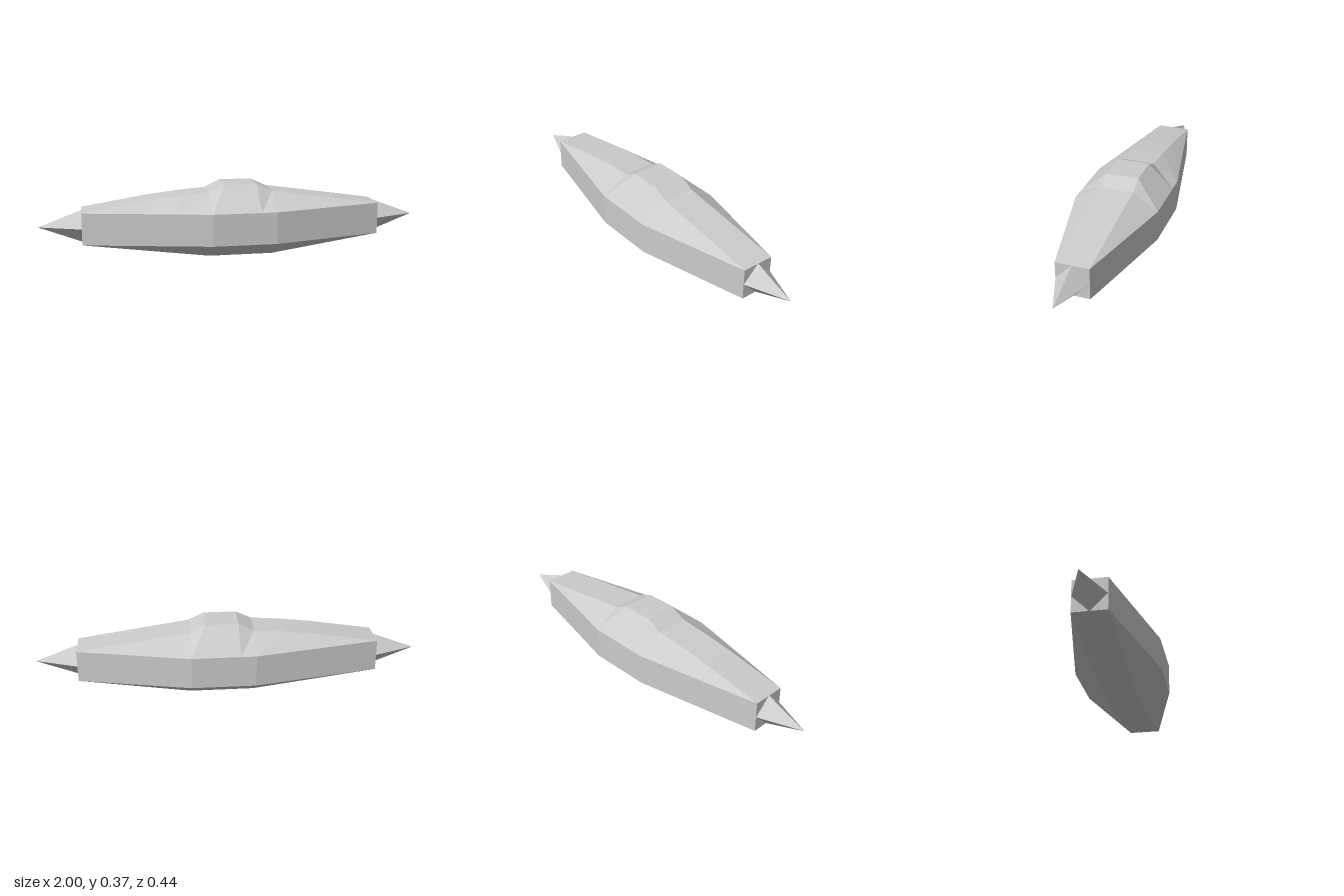
import * as THREE from 'three';

const material = new THREE.MeshStandardMaterial({ color: 0xcccccc, flatShading: true });

// The ridge and keel keep a constant width; the flanks swell in the middle.
const RIDGE_FRONT = 0.08, RIDGE_BACK = -0.09;
const LOW = 0.085, HIGH = 0.25;
const MID_Y = (LOW + HIGH) / 2, MID_Z = (RIDGE_FRONT + RIDGE_BACK) / 2;

// Eight-sided cross-section; swell 0 is the square end, 1 the full middle.
function ring(x, swell, top) {
  const front = THREE.MathUtils.lerp(RIDGE_FRONT, 0.222, swell);
  const back = THREE.MathUtils.lerp(RIDGE_BACK, -0.222, swell);
  const keel = LOW * (1 - swell);
  return [
    [top, RIDGE_FRONT], [top, RIDGE_BACK],
    [HIGH, back], [LOW, back],
    [keel, RIDGE_BACK], [keel, RIDGE_FRONT],
    [LOW, front], [HIGH, front],
  ].map(([y, z]) => new THREE.Vector3(x, y, z));
}

function hullGeometry() {
  // x, swell, ridge height: long bow slope, raised hump, stern slope
  const rings = [
    [-0.78, 0, HIGH], [-0.45, 0.508, 0.303], [-0.29, 0.754, 0.322],
    [-0.13, 1, 0.335], [-0.05, 1, 0.373], [0.12, 1, 0.373],
    [0.2, 1, 0.335], [0.78, 0, HIGH],
  ].map((s) => ring(...s));

  const positions = [];
  const addTriangle = (a, b, c) => {
    if (new THREE.Triangle(a, b, c).getArea() < 1e-7) return;
    for (const p of [a, b, c]) positions.push(p.x, p.y, p.z);
  };

  // skin between neighbouring sections
  for (let s = 0; s < rings.length - 1; s++) {
    const a = rings[s], b = rings[s + 1];
    for (let i = 0; i < 8; i++) {
      const j = (i + 1) % 8;
      addTriangle(a[i], b[i], b[j]);
      addTriangle(a[i], b[j], a[j]);
    }
  }
  // square end caps
  const first = rings[0], last = rings[rings.length - 1];
  for (let i = 1; i < 7; i++) {
    addTriangle(first[0], first[i], first[i + 1]);
    addTriangle(last[0], last[i + 1], last[i]);
  }

  const geometry = new THREE.BufferGeometry();
  geometry.setAttribute('position', new THREE.Float32BufferAttribute(positions, 3));
  geometry.computeVertexNormals();
  return geometry;
}

export function createModel() {
  const model = new THREE.Group();
  model.name = 'vessel';

  const hull = new THREE.Mesh(hullGeometry(), material);
  hull.name = 'hull';
  model.add(hull);

  // four-sided spike on each end, its base a diamond inside the square cap
  for (const side of [1, -1]) {
    const geometry = new THREE.ConeGeometry(0.084, 0.22, 4, 1, true);
    geometry.rotateZ(-side * Math.PI / 2);
    const spike = new THREE.Mesh(geometry, material);
    spike.name = side > 0 ? 'leftSpike' : 'rightSpike';
    spike.position.set(side * 0.89, MID_Y, MID_Z);
    model.add(spike);
  }
  return model;
}
